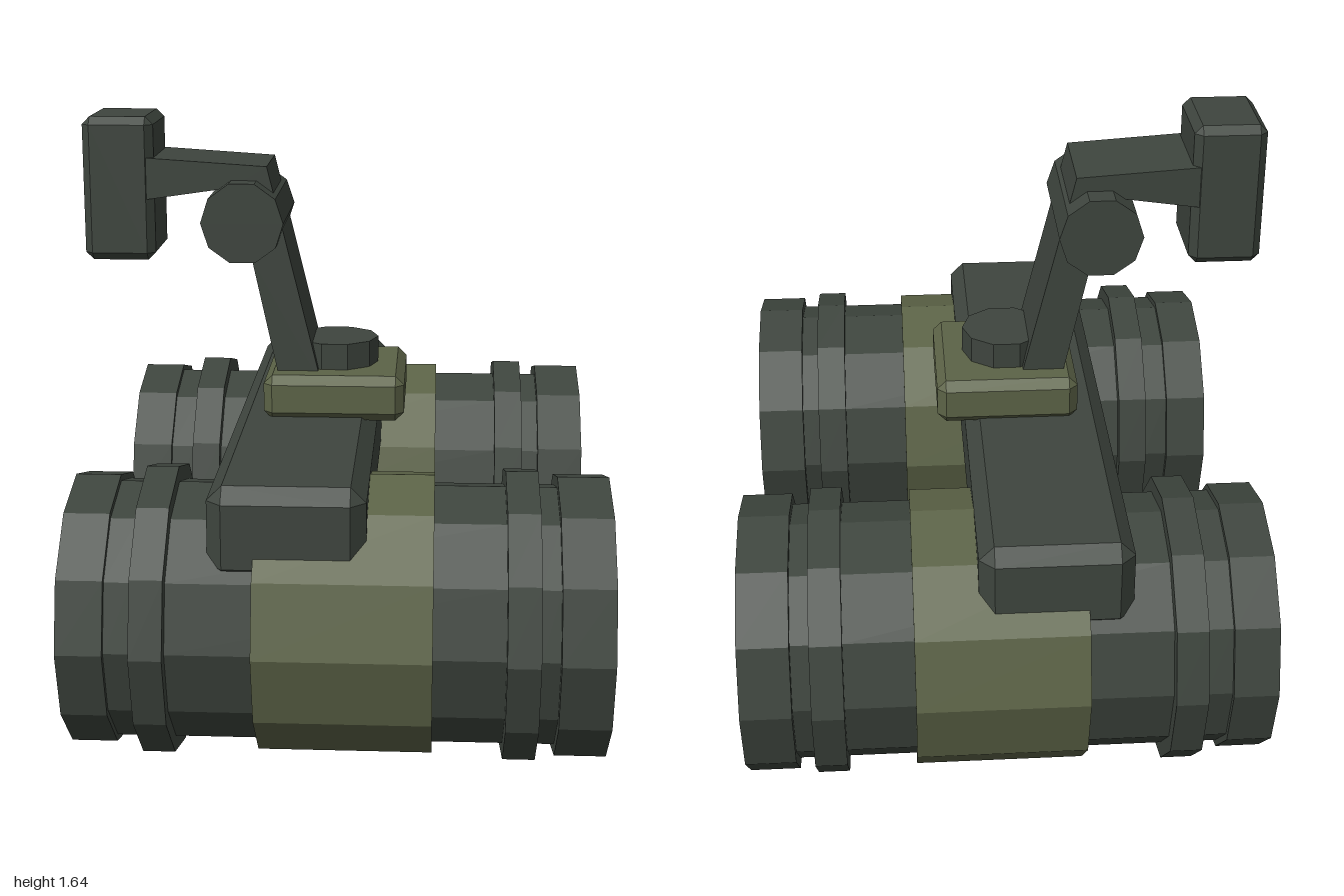
import * as THREE from 'three';
import { ConvexGeometry } from 'three/addons/geometries/ConvexGeometry.js';

// Faceted normals baked into the geometry
function flat(geometry) {
  const g = geometry.index ? geometry.toNonIndexed() : geometry;
  g.computeVertexNormals();
  return g;
}

// Box between two corners with every edge chamfered by c
function chamferBox(min, max, c) {
  const lo = new THREE.Vector3(...min), hi = new THREE.Vector3(...max);
  const mid = lo.clone().add(hi).multiplyScalar(0.5);
  const h = hi.clone().sub(lo).multiplyScalar(0.5);
  const points = [];
  for (const sx of [-1, 1]) for (const sy of [-1, 1]) for (const sz of [-1, 1]) {
    for (let full = 0; full < 3; full++) {
      points.push(new THREE.Vector3(
        sx * (h.x - (full === 0 ? 0 : c)),
        sy * (h.y - (full === 1 ? 0 : c)),
        sz * (h.z - (full === 2 ? 0 : c))));
    }
  }
  return flat(new ConvexGeometry(points)).translate(mid.x, mid.y, mid.z);
}

// Twelve-sided turned part along x, from [x, radius] pairs
function turned(profile) {
  const points = profile.map(([x, r]) => new THREE.Vector2(r, x));
  return flat(new THREE.LatheGeometry(points, 12).rotateZ(-Math.PI / 2));
}

export function createModel() {
  const dark = new THREE.MeshStandardMaterial({ color: 0x3e453e });
  dark.name = 'dark grey green';
  const olive = new THREE.MeshStandardMaterial({ color: 0x5c6347 });
  olive.name = 'olive';
  const teal = new THREE.MeshStandardMaterial({ color: 0x2f696e });
  teal.name = 'lens teal';

  const model = new THREE.Group();
  model.name = 'binocularGoggles';
  const add = (parent, name, geometry, material) => {
    const mesh = new THREE.Mesh(geometry, material);
    mesh.name = name;
    parent.add(mesh);
    return mesh;
  };

  // Tube housing with grip rings and a recess at each end
  const housing = turned([
    [-0.63, 0.28], [-0.68, 0.29], [-0.68, 0.365], [-0.56, 0.365], [-0.56, 0.348],
    [-0.49, 0.348], [-0.49, 0.39], [-0.405, 0.39], [-0.405, 0.348],
    [0.455, 0.348], [0.455, 0.39], [0.54, 0.39], [0.54, 0.348],
    [0.59, 0.348], [0.59, 0.377], [0.725, 0.377], [0.725, 0.29], [0.675, 0.28],
  ]);
  const sleeve = turned([[-0.185, 0.34], [-0.185, 0.377], [0.27, 0.377], [0.27, 0.34]]);

  for (const side of [1, -1]) {
    const tube = new THREE.Group();
    tube.name = side > 0 ? 'frontTube' : 'backTube';
    tube.position.set(0, 0.39, side * 0.61);
    add(tube, 'housing', housing, dark);
    add(tube, 'sleeve', sleeve, olive);
    // Lens discs set inside both ends
    for (const [name, x, turn] of [['eyeLens', -0.63, -1], ['objectiveLens', 0.675, 1]]) {
      const lens = add(tube, name, new THREE.CircleGeometry(0.285, 12), teal);
      lens.rotation.y = turn * Math.PI / 2;
      lens.position.x = x;
    }
    model.add(tube);
  }

  // Bridge across the tubes, with the mounting plate and its knob
  add(model, 'bridge', chamferBox([-0.305, 0.555, -0.89], [0.1, 0.805, 0.89], 0.04), dark);
  add(model, 'mountPlate', chamferBox([-0.22, 0.795, -0.21], [0.18, 0.925, 0.21], 0.025), olive);
  const knob = flat(new THREE.CylinderGeometry(0.122, 0.122, 0.1, 10).rotateY(Math.PI / 2));
  add(model, 'knob', knob, dark).position.set(-0.022, 0.95, 0);

  // Bent arm, extruded across z
  const outline = [
    [-0.55, 1.415], [-0.31, 1.45], [-0.255, 1.25], [-0.175, 0.88],
    [-0.057, 0.88], [-0.21, 1.51], [-0.55, 1.532],
  ].map(([x, y]) => new THREE.Vector2(x, y));
  const arm = new THREE.ExtrudeGeometry(new THREE.Shape(outline), { depth: 0.264, bevelEnabled: false });
  add(model, 'arm', flat(arm.translate(0, 0, -0.132)), dark);

  // Hinge barrel and the block that clips to a helmet
  const hinge = flat(new THREE.CylinderGeometry(0.116, 0.116, 0.4, 10)
    .rotateY(Math.PI / 2).rotateX(Math.PI / 2));
  add(model, 'hinge', hinge, dark).position.set(-0.275, 1.36, 0);
  add(model, 'clipBlock', chamferBox([-0.73, 1.24, -0.133], [-0.53, 1.645, 0.133], 0.022), dark);

  return model;
}
